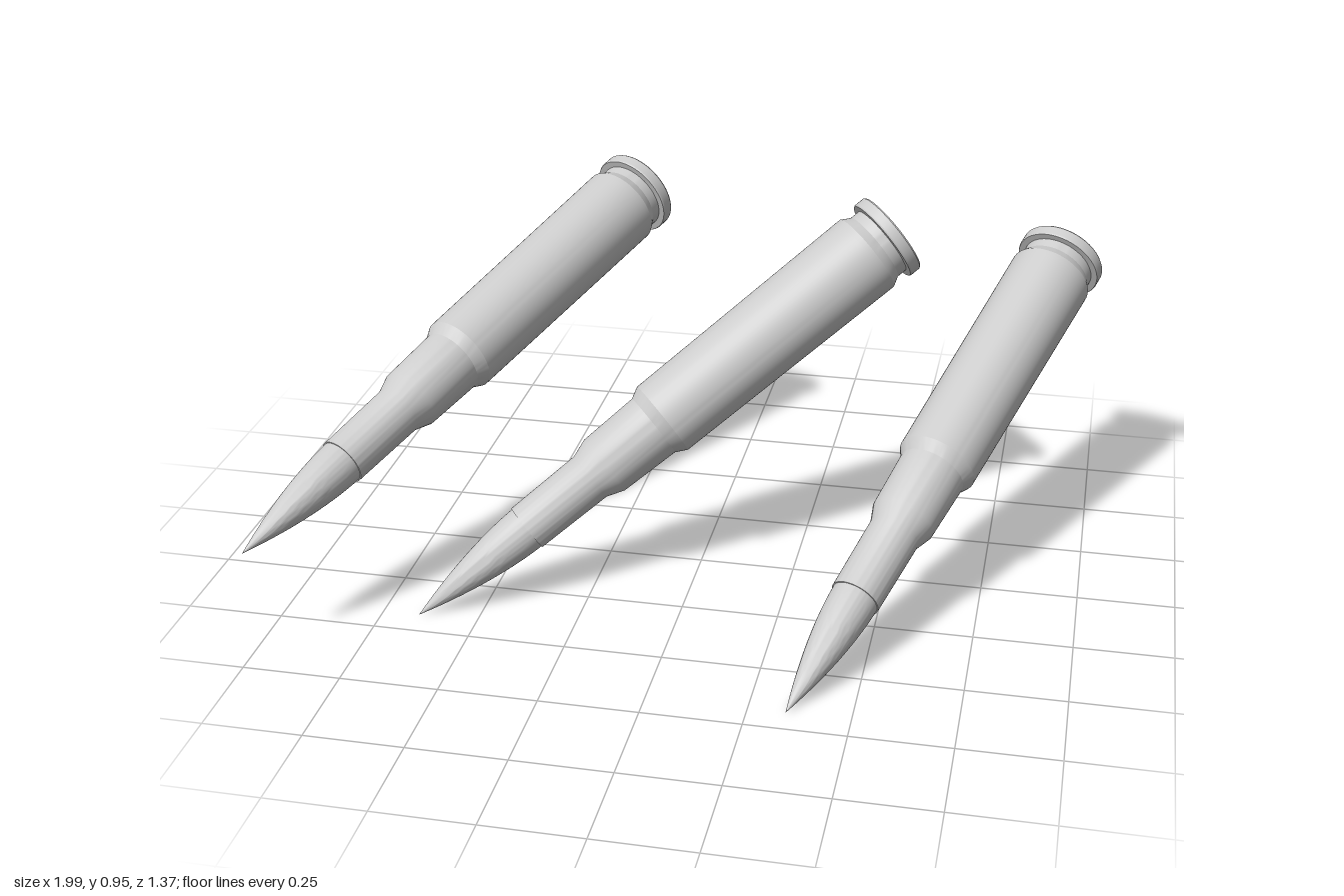
import * as THREE from 'three';
import { toCreasedNormals } from 'three/addons/utils/BufferGeometryUtils.js';

const SEGMENTS = 64;
const LENGTH = 1.576;
const UP = new THREE.Vector3(0, 1, 0);

// Profiles are [radius, distance from the tip] pairs
function lathe(profile) {
  const points = profile.map(([r, y]) => new THREE.Vector2(r, y));
  return toCreasedNormals(new THREE.LatheGeometry(points, SEGMENTS), 0.4);
}

// Pointed nose, with a smooth convex curve up to the neck
function projectileProfile() {
  const nose = [];
  for (let i = 0; i <= 16; i++) {
    const t = i / 16;
    nose.push([0.061 * (1 - Math.pow(1 - t, 1.75)), 0.36 * t]);
  }
  return nose;
}

// Neck, shoulder, stepped body, extractor groove, rim and primer pocket
const caseProfile = [
  [0.058, 0.355], [0.064, 0.355],
  [0.067, 0.565], [0.084, 0.612],
  [0.089, 0.775], [0.105, 0.805],
  [0.112, 1.475], [0.112, 1.49],
  [0.098, 1.515], [0.098, 1.542],
  [0.115, 1.542], [0.117, 1.546],
  [0.117, 1.572], [0.114, LENGTH],
  [0.048, LENGTH], [0.046, LENGTH - 0.025],
];

const primerProfile = [[0.047, LENGTH - 0.025], [0, LENGTH - 0.025]];

// Tip and base centre of each cartridge
const placements = [
  { name: 'rightCartridge', tip: [-1.0, 0.29, 0.69], base: [-0.305, 0.822, -0.624] },
  { name: 'middleCartridge', tip: [-0.655, 0.003, 0.424], base: [0.446, 0.862, -0.307] },
  { name: 'leftCartridge', tip: [0.342, 0.003, 0.682], base: [0.887, 0.716, -0.624] },
];

export function createModel() {
  const model = new THREE.Group();
  model.name = 'cartridges';
  const material = new THREE.MeshStandardMaterial({ color: 0xcccccc });
  const parts = {
    projectile: lathe(projectileProfile()),
    case: lathe(caseProfile),
    primer: lathe(primerProfile),
  };

  for (const { name, tip, base } of placements) {
    const cartridge = new THREE.Group();
    cartridge.name = name;
    for (const [part, geometry] of Object.entries(parts)) {
      const mesh = new THREE.Mesh(geometry, material);
      mesh.name = part;
      cartridge.add(mesh);
    }
    // Lay the axis from the tip towards the base
    const start = new THREE.Vector3(...tip);
    const axis = new THREE.Vector3(...base).sub(start).normalize();
    cartridge.position.copy(start);
    cartridge.quaternion.setFromUnitVectors(UP, axis);
    model.add(cartridge);
  }
  return model;
}
